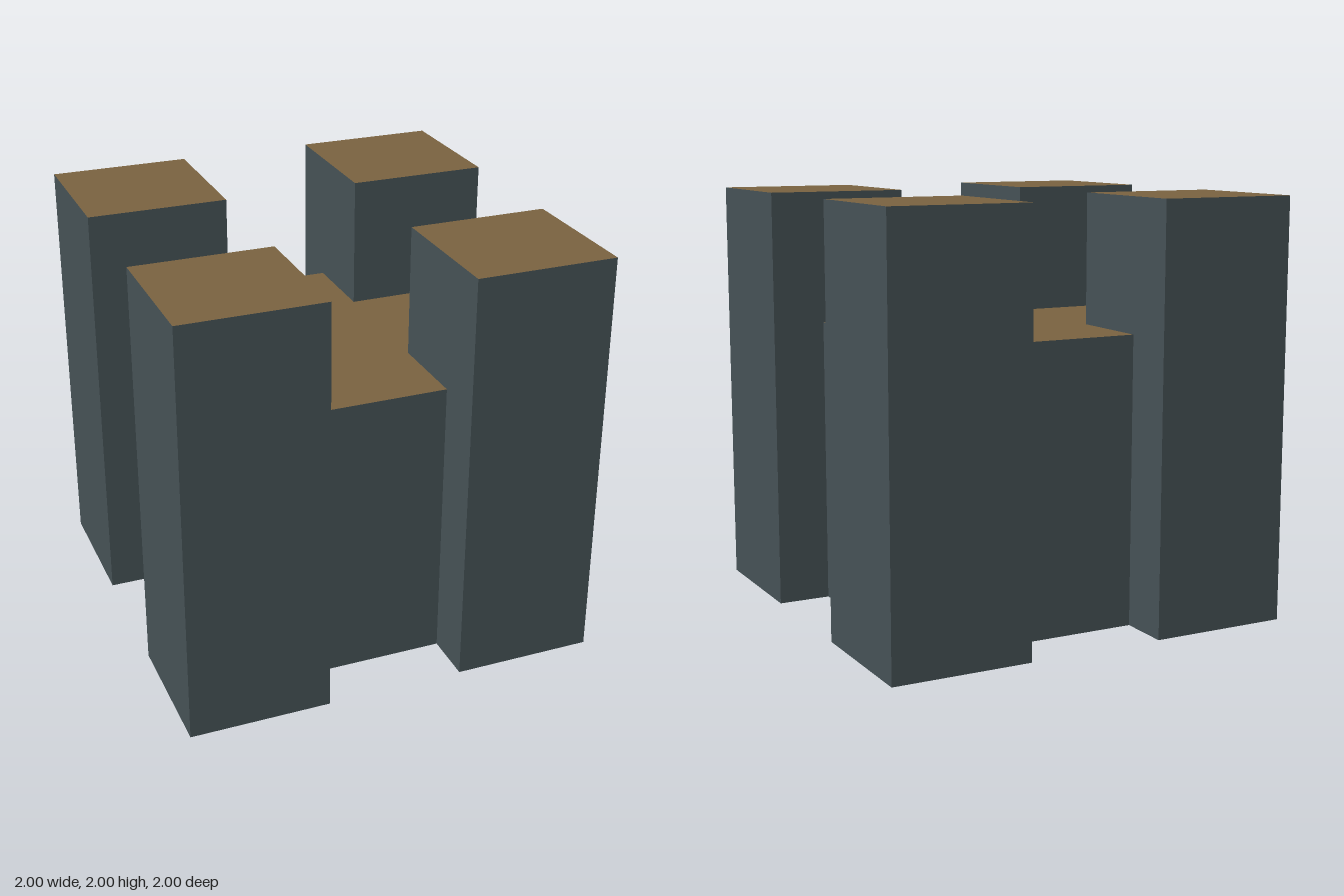
import * as THREE from 'three';

const TOWER = 0.67;        // tower width
const TOWER_HEIGHT = 2;
const KEEP = 1.5;          // keep width
const KEEP_HEIGHT = 1.375;

export function createModel() {
  const model = new THREE.Group();
  model.name = 'castle';

  const stone = new THREE.MeshStandardMaterial({ color: 0x465256 });
  const roof = new THREE.MeshStandardMaterial({ color: 0x7a6340 });
  // Box face order: +x, -x, +y, -y, +z, -z
  const faces = [stone, stone, roof, stone, stone, stone];

  // A square block standing on the ground, with a coloured flat roof
  function block(name, width, height, x, z) {
    const mesh = new THREE.Mesh(new THREE.BoxGeometry(width, height, width), faces);
    mesh.name = name;
    mesh.position.set(x, height / 2, z);
    model.add(mesh);
  }

  // Low central keep, its corners buried in the towers
  block('keep', KEEP, KEEP_HEIGHT, 0, 0);

  // Four tall corner towers
  const offset = 1 - TOWER / 2;
  for (const [zName, z] of [['front', 1], ['back', -1]]) {
    for (const [xName, x] of [['Left', 1], ['Right', -1]]) {
      block(`${zName}${xName}Tower`, TOWER, TOWER_HEIGHT, x * offset, z * offset);
    }
  }

  return model;
}
